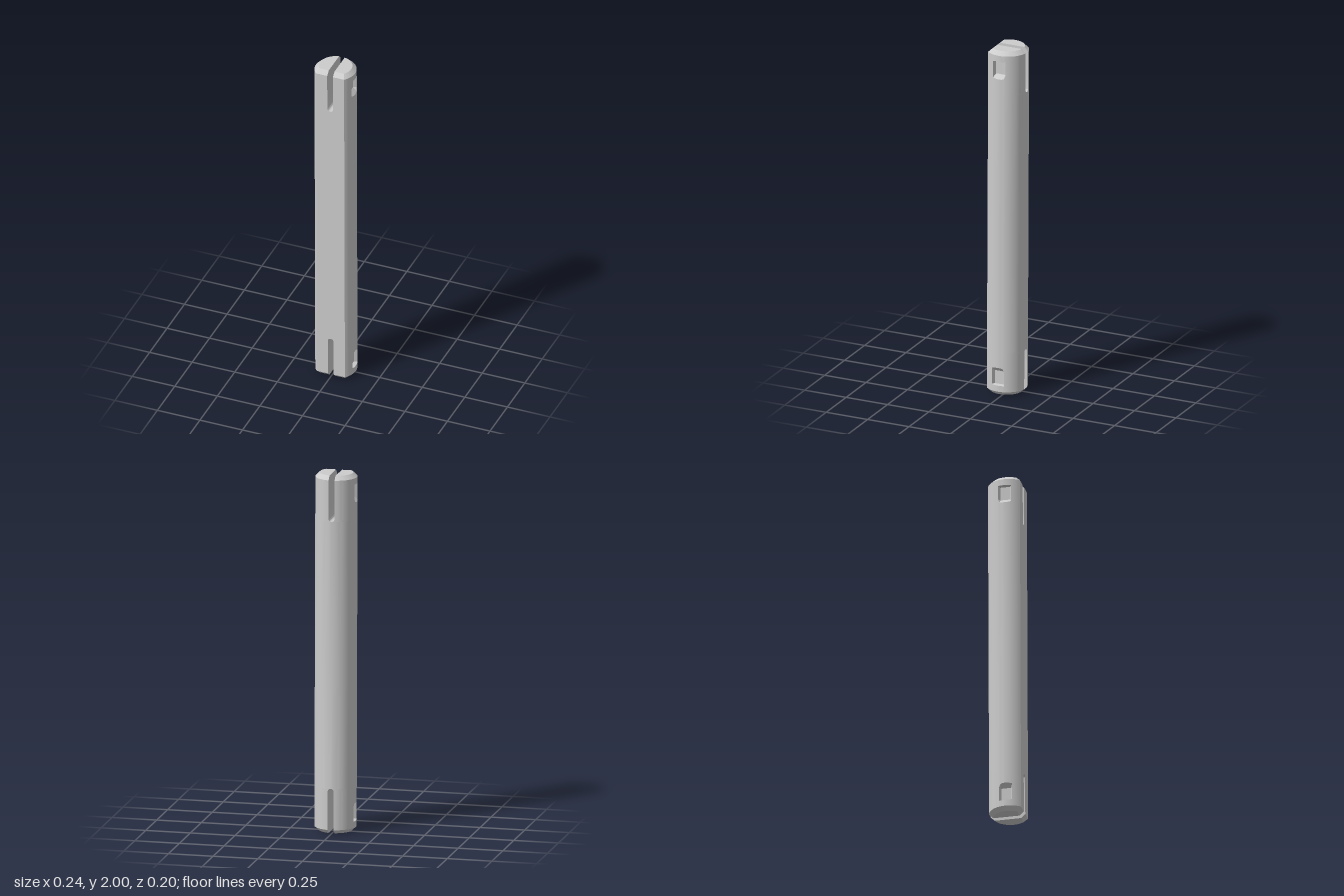
import * as THREE from 'three';
import { toCreasedNormals } from 'three/addons/utils/BufferGeometryUtils.js';

const R = 0.115;        // radius of the round side
const FLAT = 0.08;      // distance from the axis to the flat front
const ZC = 0.0175;      // axis position, so that the section is centred in z
const CHAMFER = 0.023;
const SLOT = 0.0165;    // half width of the end slots
const FLOOR = 0.091;    // x of the pocket floor
const POCKET = [-0.327, -0.24, -0.12, 0, 0.12, 0.24, 0.327]; // pocket columns, as angles

// Rows from the middle of the pin (v = 0) to its tip (v = 1)
function makeRows() {
  const rows = [{ v: 0, w: 0 }];
  for (let i = 0; i <= 8; i++) { // rounded slot end
    const a = (i / 8) * Math.PI / 2;
    rows.push({ v: 0.747 + SLOT * (1 - Math.cos(a)), w: SLOT * Math.sin(a) });
  }
  rows.push(
    { v: 0.84, w: SLOT, bend: true },   // foot of the sloping pocket ledge
    { v: 0.864, w: SLOT, sunk: true },
    { v: 0.94, w: SLOT, sunk: true },
    { v: 0.943, w: SLOT },
    { v: 0.978, w: SLOT },
    { v: 1, w: SLOT, inset: CHAMFER }
  );
  return rows;
}

// Half cross-section: slot edge, flat front, round side, back slot edge
function section({ v, w, inset = 0, sunk, bend }) {
  const r = R - inset, flat = FLAT - inset;
  const start = Math.acos(flat / r), end = Math.PI - Math.asin(w / r);
  const first = Math.PI / 2 + POCKET[0], last = Math.PI / 2 + POCKET[6];
  const points = [[w, v, ZC + flat]];
  const add = (t, x = r * Math.sin(t), y = v) => points.push([x, y, ZC + r * Math.cos(t)]);
  for (let i = 0; i < 6; i++) add(start + (first - start) * i / 6);
  POCKET.forEach((p, i) => {
    const t = Math.PI / 2 + p, x = r * Math.sin(t);
    const inner = i > 0 && i < POCKET.length - 1;
    add(t, sunk && inner ? FLOOR : x, bend ? v + R - x : v);
  });
  for (let i = 1; i <= 14; i++) add(last + (end - last) * i / 14);
  return points;
}

function pinGeometry() {
  const rows = makeRows(), loops = rows.map(section), positions = [];
  for (const sx of [1, -1]) for (const sy of [1, -1]) {
    const tri = (a, b, c) => {
      for (const p of sx * sy > 0 ? [a, b, c] : [a, c, b]) positions.push(sx * p[0], sy * p[1], p[2]);
    };
    for (let i = 0; i < loops.length - 1; i++) {
      const lo = loops[i], hi = loops[i + 1], n = lo.length;
      for (let j = 0; j < n; j++) {
        const k = (j + 1) % n;
        if (k === 0 && rows[i + 1].w === 0) continue; // no slot wall in the solid middle
        tri(lo[j], lo[k], hi[k]);
        tri(lo[j], hi[k], hi[j]);
      }
    }
    // Flat tip
    const tip = loops[loops.length - 1];
    for (let j = 1; j < tip.length - 1; j++) tri(tip[0], tip[j], tip[j + 1]);
  }
  const geometry = new THREE.BufferGeometry();
  geometry.setAttribute('position', new THREE.Float32BufferAttribute(positions, 3));
  return toCreasedNormals(geometry, 0.4);
}

export function createModel() {
  const grey = new THREE.MeshStandardMaterial({ color: 0xcccccc });
  grey.name = 'light grey';
  const pin = new THREE.Mesh(pinGeometry(), grey);
  pin.name = 'slottedPin';
  pin.position.y = 1;
  pin.rotation.set(-0.0025, 0, 0.0035); // very slight lean
  const group = new THREE.Group();
  group.name = 'connectorPin';
  group.add(pin);
  return group;
}
